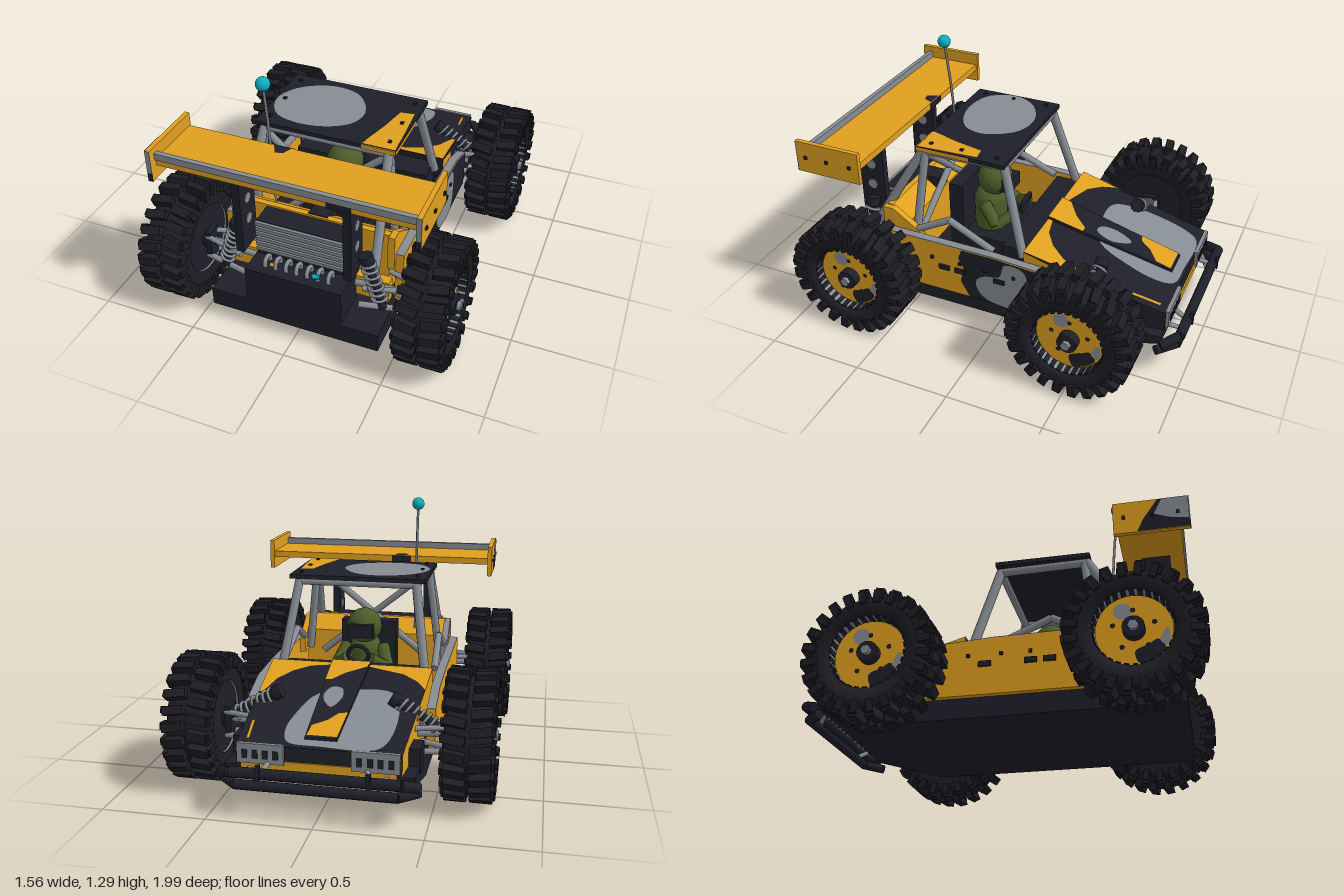
import * as THREE from 'three';
import { mergeGeometries } from 'three/addons/utils/BufferGeometryUtils.js';

const mat = (name, color, side = THREE.FrontSide) => Object.assign(new THREE.MeshStandardMaterial({ color, side }), { name });
const V = (x, y, z) => new THREE.Vector3(x, y, z);
const SIDES = [-1, 1];

export function createModel() {
  const orange = mat('orange paint', 0xe0a01f), dark = mat('dark plastic', 0x1f1f2a), rubber = mat('black rubber', 0x1d1d24);
  const grey = mat('grey metal', 0x878d94, THREE.DoubleSide), green = mat('olive green', 0x4c5b2a), cyan = mat('cyan', 0x0cafc4);
  const model = new THREE.Group();
  model.name = 'buggy';

  const add = (name, geo, m, parent = model) => {
    const mesh = Object.assign(new THREE.Mesh(geo, m), { name });
    parent.add(mesh);
    return mesh;
  };
  // box given by its min and max on each axis
  const box = (name, m, x0, x1, y0, y1, z0, z1) => add(name, new THREE.BoxGeometry(x1 - x0, y1 - y0, z1 - z0)
    .translate((x0 + x1) / 2, (y0 + y1) / 2, (z0 + z1) / 2), m);
  // small block given by its centre and half sizes
  const block = (name, m, x, y, z, a, b, c) => box(name, m, x - a, x + a, y - b, y + b, z - c, z + c);
  // straight round bar between two points
  const bar = (name, m, a, b, r) => {
    const d = b.clone().sub(a);
    const mesh = add(name, new THREE.CylinderGeometry(r, r, d.length(), 10), m);
    mesh.position.copy(a).addScaledVector(d, 0.5);
    mesh.quaternion.setFromUnitVectors(V(0, 1, 0), d.normalize());
  };
  const shapeOf = (pts) => new THREE.Shape(pts.map(([x, y]) => new THREE.Vector2(x, y)));
  const oval = (cx, cy, r, n = 16) => Array.from({ length: n }, (_, i) =>
    [cx + r * Math.cos((i / n) * Math.PI * 2), cy + r * Math.sin((i / n) * Math.PI * 2)]);
  // smooth closed outline through a few points
  const blob = (pts) => new THREE.CatmullRomCurve3(pts.map(([x, y]) => V(x, y, 0)), true).getPoints(40).slice(0, -1).map((p) => [p.x, p.y]);
  // side outline in [z, y], thick along x
  const profile = (name, m, pts, x0, x1) => add(name, new THREE.ExtrudeGeometry(shapeOf(pts.map(([z, y]) => [-z, y])),
    { depth: x1 - x0, bevelEnabled: false }).rotateY(Math.PI / 2).translate(x0, 0, 0), m);
  // paint facing up, outline in [x, z], laid on the height rule y(z)
  const topPaint = (name, m, pts, y) => {
    const g = new THREE.ShapeGeometry(shapeOf(pts.map(([x, z]) => [x, -z]))).rotateX(-Math.PI / 2);
    const p = g.attributes.position;
    for (let i = 0; i < p.count; i++) p.setY(i, y(p.getZ(i)));
    g.computeVertexNormals();
    add(name, g, m);
  };
  // paint facing sideways, outline in [z, y]
  const sidePaint = (name, m, pts, x, side = 1, parent = model) => add(name, new THREE.ShapeGeometry(
    shapeOf(pts.map(([z, y]) => [-side * z, y]))).rotateY(side * Math.PI / 2).translate(x, 0, 0), m, parent);

  // chassis tray with a rising front
  profile('chassis', dark, [[0.88, 0.09], [0.88, 0.19], [-0.88, 0.24], [-0.88, 0.2], [-0.5, 0.09]], -0.44, 0.44);

  // hood and its raised spine: boxes tapered towards the nose
  const hoodY = (z) => 0.52 + (z + 0.15) * 0.245;
  const wedge = (name, m, width, length, taper, top, bottom) => {
    const g = new THREE.BoxGeometry(width, 1, length).translate(0, 0.5, -0.15 - length / 2), p = g.attributes.position;
    for (let i = 0; i < p.count; i++) {
      const z = p.getZ(i);
      p.setXYZ(i, p.getX(i) * (z < -0.4 ? taper : 1), p.getY(i) > 0.5 ? hoodY(z) + top : bottom(z), z);
    }
    g.computeVertexNormals();
    add(name, g, m);
  };
  wedge('hood', [dark, orange, dark, dark, dark, dark], 0.84, 0.73, 0.91, 0, () => 0.2);
  wedge('hoodSpine', dark, 0.2, 0.67, 0.75, 0.016, hoodY);
  const onHood = (z) => hoodY(z) + 0.004, onSpine = (z) => hoodY(z) + 0.02;
  topPaint('hoodGrey', grey, blob([[-0.31, -0.78], [-0.26, -0.86], [0, -0.865], [0.15, -0.85], [0.185, -0.76], [0.17, -0.62],
    [0.1, -0.44], [-0.1, -0.38], [-0.25, -0.39], [-0.31, -0.5]]), onHood);
  topPaint('hoodOrangeRear', orange, [[-0.42, -0.15], [-0.412, -0.36], [-0.36, -0.285], [-0.28, -0.225], [-0.1, -0.175], [0.1, -0.175],
    [0.2, -0.195], [0.28, -0.25], [0.34, -0.33], [0.38, -0.46], [0.402, -0.46], [0.42, -0.15]], onHood);
  topPaint('hoodOrangeEdge', orange, [[0.33, -0.84], [0.345, -0.84], [0.36, -0.7], [0.345, -0.7]], onHood);
  topPaint('spineOrangeFront', orange, [[-0.075, -0.81], [0.07, -0.81], [0.065, -0.73], [0, -0.68], [-0.04, -0.62], [-0.083, -0.61]], onSpine);
  topPaint('spineGrey', grey, blob([[-0.03, -0.49], [0.01, -0.58], [0.07, -0.49], [0.04, -0.4], [-0.01, -0.41]]), onSpine);
  topPaint('spineOrangeRear', orange, [[-0.1, -0.15], [-0.097, -0.2], [0, -0.27], [0.06, -0.34], [0.094, -0.34], [0.1, -0.15]], onSpine);
  sidePaint('hoodSideOrange', orange, [[-0.15, 0.4], [-0.15, 0.518], [-0.3, 0.482], [-0.3, 0.4]], 0.422);

  // nose: lamp plates with slots, bumper and brackets
  box('nosePanel', orange, -0.36, 0.36, 0.23, 0.27, -0.888, -0.88);
  for (const s of SIDES) {
    box('lampPlate', grey, s * 0.265 - 0.11, s * 0.265 + 0.11, 0.255, 0.35, -0.895, -0.875);
    for (let i = 0; i < 4; i++) block('lampSlot', dark, s * 0.265 + (i - 1.5) * 0.048, 0.3, -0.897, 0.013, 0.02, 0.003);
    bar('bumperBracket', grey, V(s * 0.22, 0.27, -0.86), V(s * 0.25, 0.23, -0.96), 0.013);
    bar('bumperBracket', grey, V(s * 0.34, 0.25, -0.86), V(s * 0.26, 0.18, -0.94), 0.012);
    block('bumperPin', dark, s * 0.25, 0.25, -0.98, 0.01, 0.035, 0.01);
    bar('bumperEnd', dark, V(s * 0.385, 0.235, -0.96), V(s * 0.455, 0.2, -0.885), 0.026);
    bar('bumperEnd', dark, V(s * 0.37, 0.17, -0.945), V(s * 0.455, 0.165, -0.86), 0.024);
  }
  bar('bumperUpperBar', dark, V(-0.39, 0.235, -0.96), V(0.39, 0.235, -0.96), 0.026);
  bar('bumperLowerBar', dark, V(-0.375, 0.17, -0.945), V(0.375, 0.17, -0.945), 0.024);

  // side panels, fins and vents
  for (const s of SIDES) {
    const x0 = s > 0 ? 0.428 : -0.472, fx = s > 0 ? 0.395 : -0.43;
    profile('sidePanel', orange, [[0.62, 0.19], [0.62, 0.48], [0, 0.475], [-0.25, 0.46], [-0.42, 0.4], [-0.42, 0.19]], x0, x0 + 0.044);
    profile('sideRail', grey, [[0.62, 0.48], [0.62, 0.484], [0, 0.479], [-0.25, 0.464], [-0.42, 0.404], [-0.42, 0.4], [-0.25, 0.46], [0, 0.475]], x0, x0 + 0.044);
    profile('rearFin', s > 0 ? orange : grey, [[0.42, 0.4], [0.42, 0.48], [0.58, 0.59], [0.64, 0.59], [0.64, 0.4]], fx, fx + 0.035);
    for (const z of [0.27, 0.18, -0.04]) block('sideVent', dark, s * 0.476, 0.342, z, 0.008, 0.013, 0.03);
    for (const z of [0.34, 0.18, 0.04, -0.12]) block('sideBolt', dark, s * 0.476, 0.388, z, 0.008, 0.008, 0.008);
    block('wheelArchBlock', dark, s * 0.41, 0.26, -0.68, 0.035, 0.06, 0.06);
  }
  sidePaint('finOrange', orange, [[0.42, 0.48], [0.58, 0.588], [0.6, 0.588], [0.5, 0.48]], -0.432, -1);
  sidePaint('sideDark', dark, [[0.17, 0.473], [0.19, 0.42], [0.16, 0.36], [0.18, 0.28], [0.13, 0.19], [-0.42, 0.19], [-0.42, 0.4],
    [-0.25, 0.455], [0, 0.472]], 0.4735);
  sidePaint('sideGrey', grey, blob([[0.09, 0.31], [0.08, 0.25], [0.02, 0.2], [-0.17, 0.2], [-0.2, 0.33], [-0.17, 0.44],
    [-0.07, 0.45], [-0.04, 0.37], [0.04, 0.35]]), 0.4755);

  // cockpit: dashboard, seat, driver
  box('dashboard', dark, -0.37, 0.37, 0.38, 0.49, -0.16, -0.01);
  box('cockpitFloor', dark, -0.42, 0.42, 0.18, 0.24, -0.15, 0.5);
  box('seatBack', dark, -0.155, 0.155, 0.22, 0.635, 0.32, 0.4);
  box('seatBase', dark, -0.155, 0.155, 0.22, 0.34, 0.08, 0.36);
  const steer = add('steeringWheel', new THREE.TorusGeometry(0.055, 0.011, 8, 20), dark);
  steer.position.set(0, 0.52, 0.025);
  steer.rotation.x = -0.3;
  add('driverHead', new THREE.SphereGeometry(0.095, 24, 16).translate(0, 0.64, 0.2), green);
  box('goggles', dark, -0.065, 0.065, 0.595, 0.665, 0.085, 0.17);
  add('driverTorso', new THREE.CapsuleGeometry(0.09, 0.14, 6, 16).translate(0, 0.43, 0.23), green);
  for (const s of SIDES) {
    bar('driverUpperArm', green, V(s * 0.1, 0.52, 0.22), V(s * 0.14, 0.43, 0.13), 0.035);
    bar('driverForearm', green, V(s * 0.14, 0.43, 0.13), V(s * 0.06, 0.5, 0.04), 0.03);
  }

  // roof and roll cage
  box('roof', dark, -0.36, 0.36, 0.928, 0.95, -0.02, 0.46);
  topPaint('roofGrey', grey, blob([[-0.35, 0.24], [-0.29, 0.11], [-0.13, 0.03], [0.02, 0.06], [0.11, 0.2], [0.09, 0.31], [0, 0.38],
    [-0.15, 0.41], [-0.29, 0.37]]), () => 0.9535);
  topPaint('roofOrange', orange, [[0.19, 0.455], [0.24, 0.28], [0.27, 0.14], [0.34, 0.13], [0.358, 0.455]], () => 0.9535);
  sidePaint('roofEdgeOrange', orange, [[0.46, 0.928], [0.46, 0.95], [0.17, 0.95], [0.17, 0.928]], 0.3625);
  box('roofRearEdgeOrange', orange, 0.19, 0.36, 0.928, 0.95, 0.459, 0.464);
  for (const s of SIDES) {
    for (const z of [0.04, 0.23, 0.4]) block('roofBolt', dark, s * 0.31, 0.956, z, 0.008, 0.006, 0.008);
    const cage = (name, a, b, r) => bar(name, grey, V(s * a[0], a[1], a[2]), V(s * b[0], b[1], b[2]), r);
    cage('frontPillar', [0.31, 0.92, 0], [0.38, 0.46, -0.13], 0.024);
    cage('middlePillar', [0.32, 0.92, 0.43], [0.38, 0.42, 0.48], 0.022);
    cage('rearPillar', [0.32, 0.92, 0.44], [0.37, 0.36, 0.77], 0.024);
    cage('roofRail', [0.31, 0.915, 0], [0.32, 0.915, 0.44], 0.022);
    cage('sideBrace', [0.41, 0.48, 0.47], [0.4, 0.585, 0.27], 0.019);
    cage('sideBrace', [0.4, 0.585, 0.27], [0.41, 0.47, 0.02], 0.019);
    cage('crossBrace', [0.3, 0.89, 0.45], [-0.3, 0.4, 0.5], 0.019);
  }
  for (const z of [0, 0.44]) bar('roofCrossbar', grey, V(-0.31, 0.915, z), V(0.31, 0.915, z), 0.02);

  // rear deck, radiator, gearbox
  profile('rearDeck', orange, [[0.5, 0.22], [0.5, 0.52], [0.6, 0.595], [0.63, 0.595], [0.63, 0.22]], -0.4, 0.4);
  box('deckStrap', dark, -0.02, 0.08, 0.5, 0.6, 0.505, 0.62);
  box('rearBulkhead', orange, -0.42, 0.42, 0.22, 0.34, 0.63, 0.68);
  box('engine', dark, -0.237, 0.237, 0.38, 0.585, 0.63, 0.745);
  for (let i = 0; i < 6; i++) box('coolingFin', grey, -0.238, 0.238, 0.413 + i * 0.03, 0.432 + i * 0.03, 0.63, 0.76);
  box('gearbox', dark, -0.25, 0.25, 0.19, 0.375, 0.64, 0.87);
  for (let i = 0; i < 7; i++) add('exhaustRing', new THREE.TorusGeometry(0.03, 0.011, 6, 14).rotateY(Math.PI / 2).translate((i - 3) * 0.055, 0.385, 0.79), grey);
  bar('fuelLine', cyan, V(0.09, 0.408, 0.83), V(0.12, 0.408, 0.83), 0.012);
  bar('fuelCap', orange, V(-0.13, 0.408, 0.83), V(-0.11, 0.408, 0.83), 0.01);

  // wing on two posts
  box('wingPlate', orange, -0.63, 0.63, 0.92, 0.955, 0.62, 0.92);
  box('wingLip', grey, -0.63, 0.63, 0.955, 0.99, 0.905, 0.93);
  box('wingRearPatch', dark, 0.21, 0.325, 0.92, 0.955, 0.919, 0.925);
  box('wingFrontPatch', dark, -0.19, -0.08, 0.92, 0.955, 0.616, 0.621);
  topPaint('wingTopPatch', dark, [[-0.18, 0.621], [-0.09, 0.621], [-0.11, 0.67], [-0.15, 0.68]], () => 0.958);
  for (const s of SIDES) {
    const x = s * 0.642;
    box('wingPost', dark, s * 0.275 - 0.02, s * 0.275 + 0.02, 0.46, 0.92, 0.71, 0.85);
    for (const y of [0.62, 0.74]) bar('postBolt', grey, V(s * 0.275 - 0.024, y, 0.78), V(s * 0.275 + 0.024, y, 0.78), 0.028);
    box('wingEndPlate', orange, x - 0.012, x + 0.012, 0.855, 1.02, 0.61, 0.96);
    for (const z of [0.66, 0.79, 0.91]) block('wingBolt', dark, s * 0.657, 0.938, z, 0.006, 0.008, 0.008);
    box('endPlateRearEdge', grey, x - 0.012, x + 0.012, 0.9, 1.02, 0.96, 0.964);
    box('endPlateRearFoot', dark, x - 0.012, x + 0.012, 0.855, 0.9, 0.96, 0.964);
  }
  sidePaint('endPlateDark', dark, [[0.72, 0.857], [0.75, 0.92], [0.82, 1.018], [0.96, 1.018], [0.96, 0.857]], -0.656, -1);
  sidePaint('endPlateGrey', grey, [[0.8, 0.94], [0.84, 1.018], [0.958, 1.018], [0.958, 0.9], [0.88, 0.91]], -0.658, -1);

  // antenna
  const whip = new THREE.CatmullRomCurve3([V(-0.23, 0.5, 0.54), V(-0.23, 0.8, 0.555), V(-0.23, 1.05, 0.575), V(-0.23, 1.25, 0.6)]);
  add('antenna', new THREE.TubeGeometry(whip, 16, 0.007, 6), grey);
  add('antennaBall', new THREE.SphereGeometry(0.035, 18, 12).translate(-0.23, 1.26, 0.6), cyan);

  // coil-over shock between two points
  const shock = (a, b) => {
    const d = b.clone().sub(a), L = d.length();
    const coil = Array.from({ length: 73 }, (_, i) =>
      V(0.034 * Math.cos(i * 0.61), (i / 72 - 0.5) * L * 0.75, 0.034 * Math.sin(i * 0.61)));
    const spring = add('shockSpring', new THREE.TubeGeometry(new THREE.CatmullRomCurve3(coil), 130, 0.008, 5), grey);
    spring.position.copy(a).addScaledVector(d, 0.5);
    spring.quaternion.setFromUnitVectors(V(0, 1, 0), d.clone().normalize());
    bar('shockBody', dark, a, b, 0.02);
    bar('shockCap', dark, a, a.clone().addScaledVector(d, 0.14), 0.036);
  };

  // one wheel, axle along x, outer face at +x
  const makeWheel = () => {
    const w = Object.assign(new THREE.Group(), { name: 'wheel' });
    const tyre = [[0.18, -0.1], [0.25, -0.108], [0.272, -0.095], [0.278, 0], [0.272, 0.095], [0.25, 0.108], [0.18, 0.1], [0.18, -0.1]];
    add('tyre', new THREE.LatheGeometry(tyre.map(([r, y]) => new THREE.Vector2(r, y)), 40).rotateZ(-Math.PI / 2), rubber, w);
    const knobs = [], slots = [];
    for (let i = 0; i < 24; i++) for (const s of SIDES) {
      const a = ((i + (s > 0 ? 0.5 : 0)) / 24) * Math.PI * 2;
      knobs.push(new THREE.BoxGeometry(0.1, 0.05, 0.042).rotateY(s * 0.15).translate(s * 0.06, 0.292, 0).rotateX(a));
      knobs.push(new THREE.BoxGeometry(0.022, 0.06, 0.034).translate(s * 0.112, 0.272, 0).rotateX(a));
    }
    add('tread', mergeGeometries(knobs), rubber, w);
    const disc = (name, m, r, x0, x1, n = 32) =>
      add(name, new THREE.CylinderGeometry(r, r, x1 - x0, n).rotateZ(-Math.PI / 2).translate((x0 + x1) / 2, 0, 0), m, w);
    add('rimBarrel', new THREE.CylinderGeometry(0.179, 0.179, 0.2, 40, 1, true).rotateZ(Math.PI / 2), grey, w);
    disc('rimFace', orange, 0.17, 0.03, 0.06);
    disc('rimBack', dark, 0.178, -0.09, -0.08);
    disc('hub', dark, 0.05, -0.1, 0.105, 16);
    disc('axleNut', grey, 0.024, 0.1, 0.125, 6);
    sidePaint('rimDark', dark, blob([[0, -0.1], [-0.02, -0.16], [-0.09, -0.135], [-0.13, -0.09], [-0.1, -0.05], [-0.06, -0.07]]), 0.0625, 1, w);
    sidePaint('rimGrey', grey, blob([[-0.11, -0.06], [-0.14, -0.08], [-0.155, -0.03], [-0.14, 0]]), 0.064, 1, w);
    sidePaint('rimGreySpot', grey, oval(0.047, 0.095, 0.04), 0.0625, 1, w);
    for (const a of [0.3, 1.56, 2.81, 4.07, 5.33]) sidePaint('rimBolt', dark, oval(0.095 * Math.cos(a), 0.095 * Math.sin(a), 0.012, 8), 0.066, 1, w);
    for (let i = 0; i < 30; i++) slots.push(new THREE.BoxGeometry(0.06, 0.006, 0.022).translate(0.075, 0.176, 0).rotateX((i / 30) * Math.PI * 2));
    add('rimSlots', mergeGeometries(slots), dark, w);
    return w;
  };

  // wheels, arms and shocks at the four corners
  for (const z of [0.682, -0.515]) for (const s of SIDES) {
    const w = makeWheel();
    w.position.set(s * 0.655, 0.327, z);
    if (s < 0) w.rotation.y = Math.PI;
    model.add(w);
    bar('axle', grey, V(s * 0.24, 0.3, z), V(s * 0.58, 0.325, z), 0.018);
    for (const dz of [-0.09, 0.09]) {
      bar('lowerArm', grey, V(s * 0.3, 0.25, z + dz), V(s * 0.55, 0.24, z + dz * 0.3), 0.016);
      bar('upperArm', grey, V(s * 0.32, 0.36, z + dz), V(s * 0.55, 0.36, z + dz * 0.3), 0.014);
    }
    block('wheelCarrier', dark, s * 0.535, 0.31, z, 0.015, 0.08, 0.04);
    if (z < 0) shock(V(s * 0.27, 0.48, z), V(s * 0.53, 0.33, z));
    else shock(V(s * 0.33, 0.56, z + 0.08), V(s * 0.42, 0.26, z + 0.08));
  }
  return model;
}
